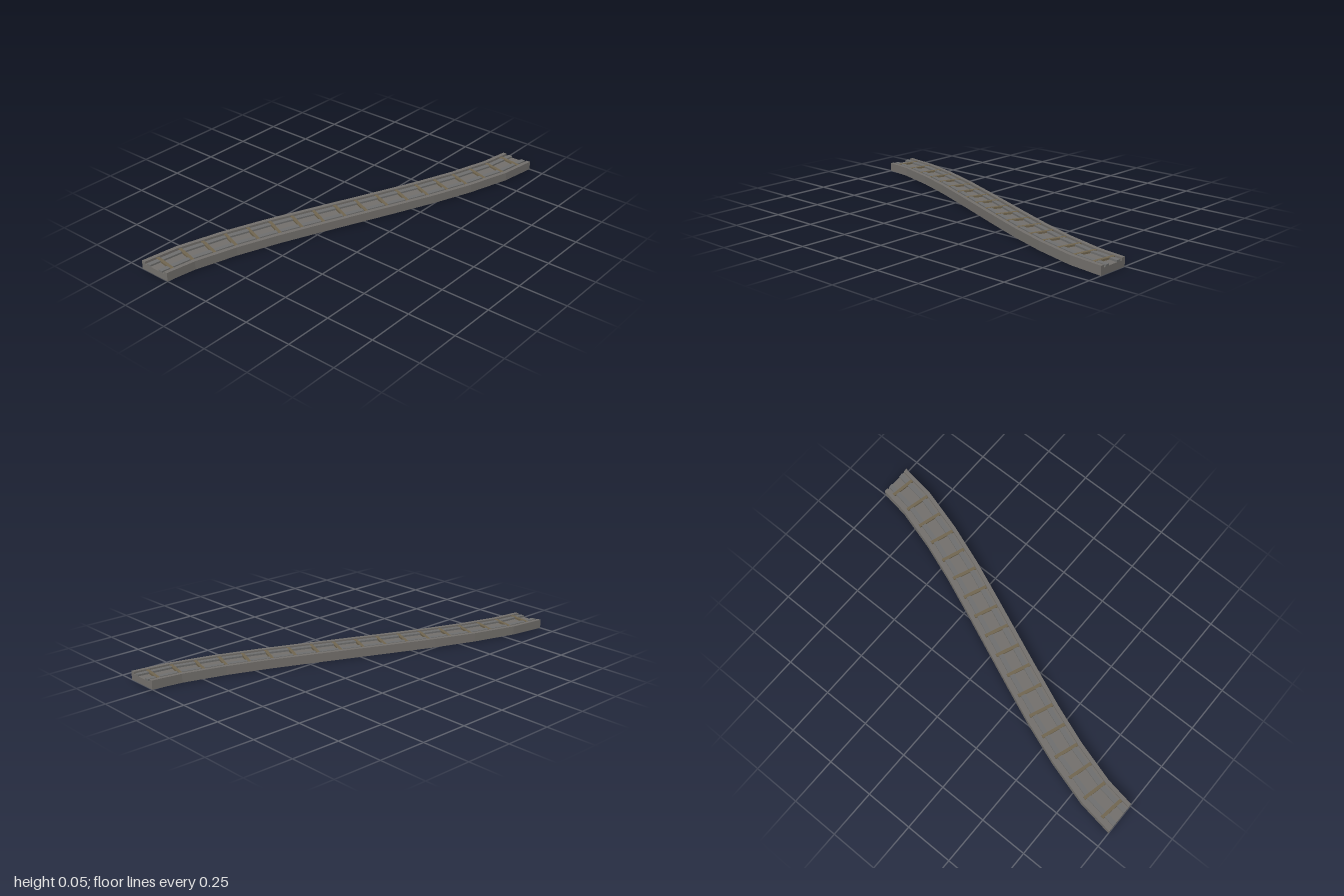
import * as THREE from 'three';

const HALF_PATH = [[0.2, 0.085], [0.4, 0.168], [0.61, 0.245], [0.83, 0.309], [1, 0.335]];

// S-shaped centre line, the same after half a turn
const PATH = [
  ...HALF_PATH.map(([x, z]) => new THREE.Vector2(-x, -z)).reverse(),
  new THREE.Vector2(0, 0),
  ...HALF_PATH.map(([x, z]) => new THREE.Vector2(x, z)),
];
const STEPS = PATH.length - 1;

// Mitred sideways direction at each corner; the two ends are cut square to x
const SIDES = PATH.map((p, i) => {
  if (i === 0 || i === STEPS) return new THREE.Vector2(0, -1);
  const a = p.clone().sub(PATH[i - 1]).normalize();
  const b = PATH[i + 1].clone().sub(p).normalize();
  const d = a.add(b).normalize();
  return new THREE.Vector2(d.y, -d.x);
});

// Sweep a cross-section (sideways offset, height) along the path
function sweep(points, material, name) {
  const shape = new THREE.Shape(points.map(([u, y]) => new THREE.Vector2(u, y)));
  const geo = new THREE.ExtrudeGeometry(shape, { depth: STEPS, steps: STEPS, bevelEnabled: false });
  const pos = geo.attributes.position;
  for (let i = 0; i < pos.count; i++) {
    const k = Math.round(pos.getZ(i));
    const u = pos.getX(i);
    pos.setXYZ(i, PATH[k].x + SIDES[k].x * u, pos.getY(i), PATH[k].y + SIDES[k].y * u);
  }
  geo.computeVertexNormals();
  const mesh = new THREE.Mesh(geo, material);
  mesh.name = name;
  return mesh;
}

export function createModel() {
  const stone = new THREE.MeshStandardMaterial({ name: 'stone grey', color: 0x74716d });
  const iron = new THREE.MeshStandardMaterial({ name: 'iron grey', color: 0x70706f });
  const wood = new THREE.MeshStandardMaterial({ name: 'dull wood', color: 0x726751 });
  const group = new THREE.Group();
  group.name = 'curvedTrack';

  // Bed with a shallow channel along the top
  group.add(sweep([
    [-0.085, 0], [0.085, 0], [0.085, 0.045], [0.065, 0.045],
    [0.065, 0.033], [-0.065, 0.033], [-0.065, 0.045], [-0.085, 0.045],
  ], stone, 'trackBed'));

  // Two broad flat rails
  for (const u of [-0.04, 0.04]) {
    group.add(sweep([
      [u - 0.012, 0.032], [u + 0.012, 0.032], [u + 0.012, 0.042], [u - 0.012, 0.042],
    ], iron, 'rail'));
  }

  // Evenly spaced sleepers crossing the channel, just proud of the rails
  const curve = new THREE.CurvePath();
  for (let i = 0; i < STEPS; i++) curve.add(new THREE.LineCurve(PATH[i], PATH[i + 1]));
  const sleeperGeo = new THREE.BoxGeometry(0.016, 0.0105, 0.126);
  const count = 18;
  for (let i = 0; i < count; i++) {
    const t = (i + 0.5) / count;
    const p = curve.getPointAt(t);
    const d = curve.getPointAt(t + 0.01).sub(curve.getPointAt(t - 0.01));
    const sleeper = new THREE.Mesh(sleeperGeo, wood);
    sleeper.name = 'sleeper';
    sleeper.position.set(p.x, 0.0373, p.y);
    sleeper.rotation.y = -Math.atan2(d.y, d.x);
    group.add(sleeper);
  }
  return group;
}
